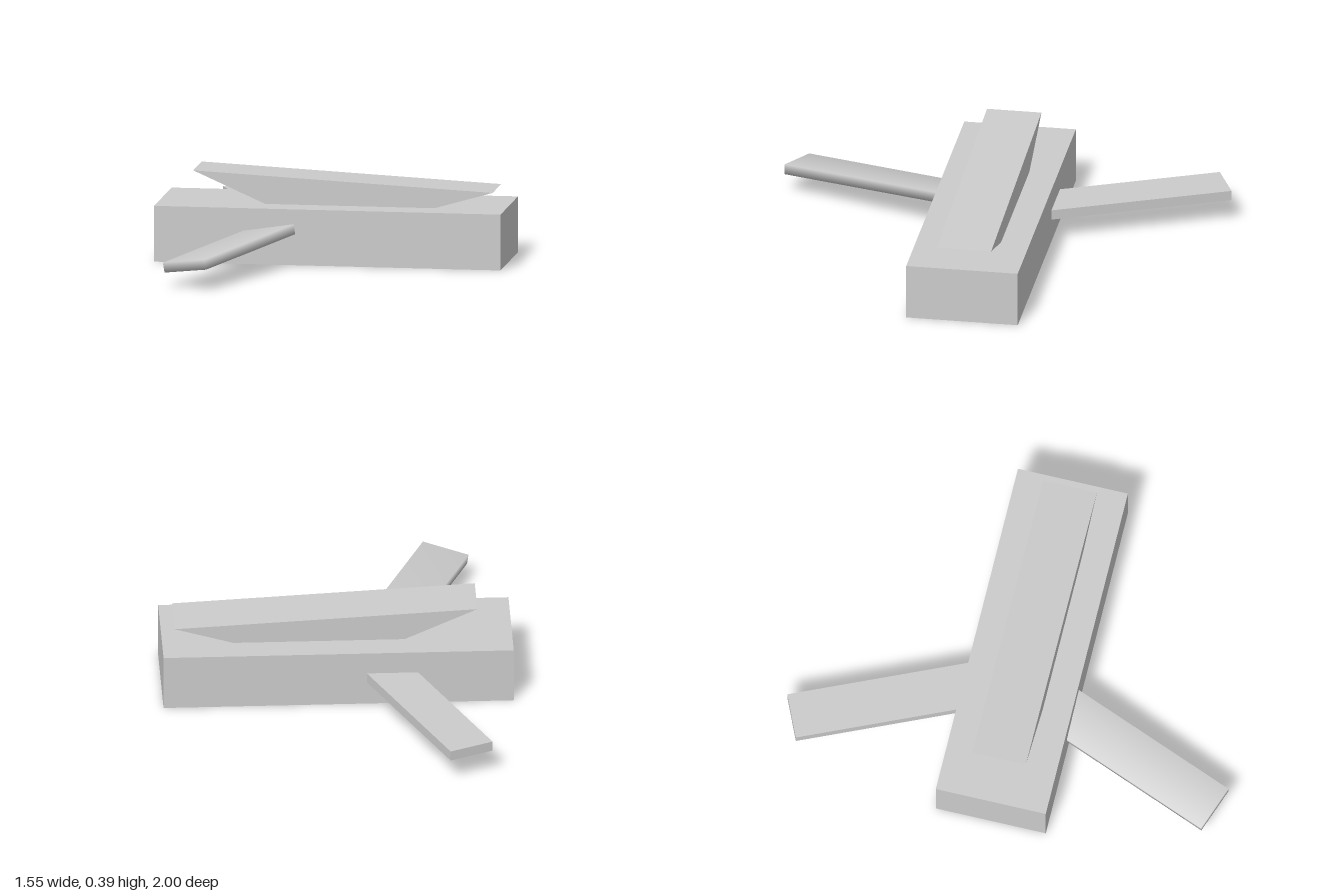
import * as THREE from 'three';
import { mergeVertices } from 'three/addons/utils/BufferGeometryUtils.js';

const material = new THREE.MeshStandardMaterial({ color: 0xcccccc });

function part(name, geometry, parent) {
  const mesh = new THREE.Mesh(geometry, material);
  mesh.name = name;
  parent.add(mesh);
  return mesh;
}

// Box whose normals are shared across its edges, for soft shading
function softBox(w, h, d) {
  const box = new THREE.BoxGeometry(w, h, d);
  box.deleteAttribute('normal');
  box.deleteAttribute('uv');
  const soft = mergeVertices(box);
  soft.computeVertexNormals();
  return soft;
}

export function createModel() {
  const model = new THREE.Group();
  model.name = 'glider';

  // Main block
  part('body', new THREE.BoxGeometry(1.55, 0.25, 0.5), model).position.y = 0.125;

  // Sloping wedge on top, its foot sunk slightly into the body
  const profile = new THREE.Shape([
    new THREE.Vector2(-0.23, 0.22),
    new THREE.Vector2(0.356, 0.22),
    new THREE.Vector2(0.72, 0.325),
    new THREE.Vector2(-0.62, 0.392),
  ]);
  const wedge = new THREE.ExtrudeGeometry(profile, { depth: 0.244, bevelEnabled: false });
  wedge.translate(0, 0, -0.122);
  part('canopy', wedge, model);

  // Swept front wing, rolled and softly shaded
  const frontWing = part('frontWing', softBox(0.215, 0.045, 0.97), model);
  frontWing.position.set(-0.357, 0.129, 0.506);
  frontWing.rotation.set(0, -0.364, 0.154, 'ZYX');

  // Swept back wing, level
  const backWing = part('backWing', new THREE.BoxGeometry(0.207, 0.045, 0.97), model);
  backWing.position.set(-0.357, 0.128, -0.516);
  backWing.rotation.y = 0.42;

  return model;
}
